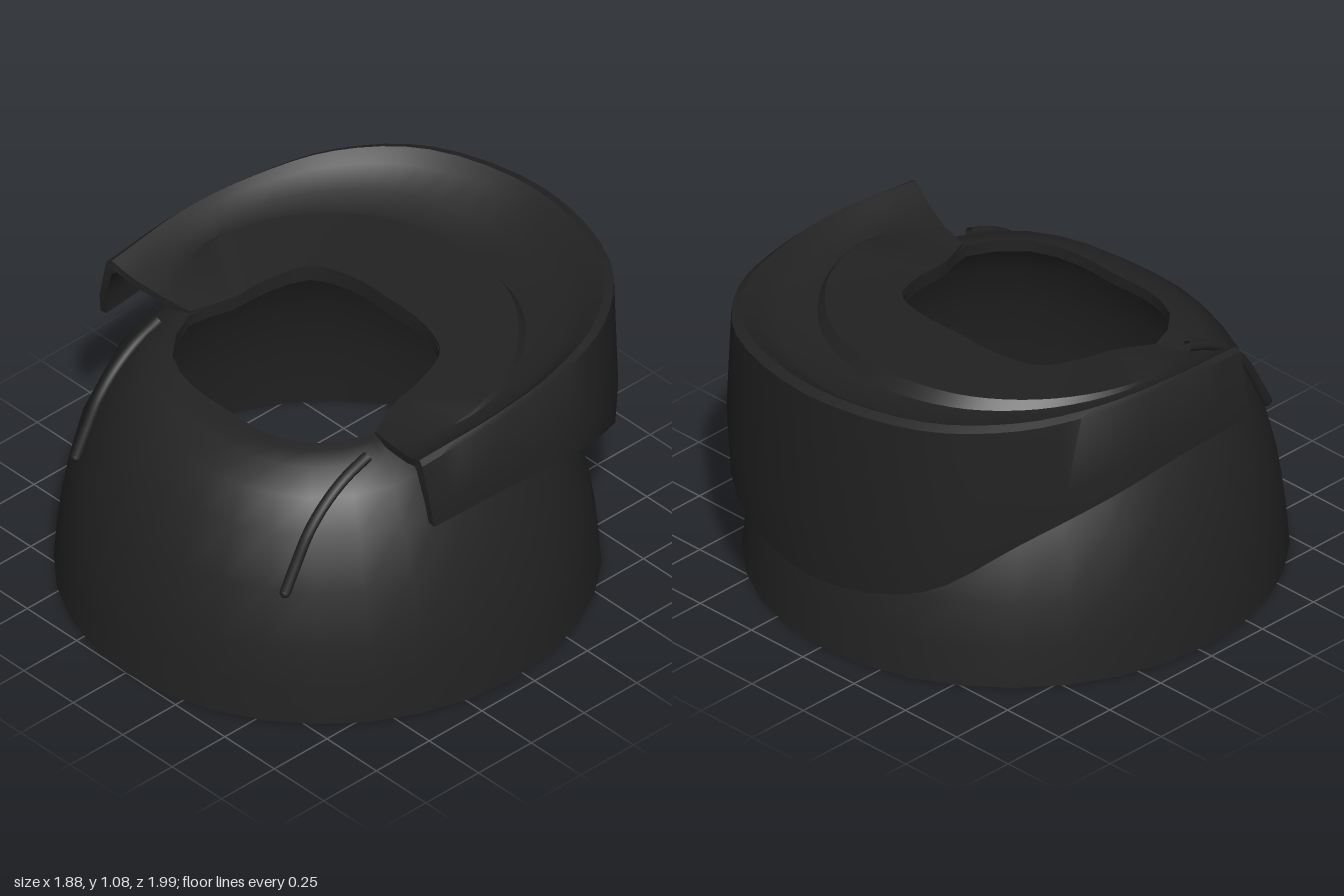
import * as THREE from 'three';
import { toCreasedNormals } from 'three/addons/utils/BufferGeometryUtils.js';

const material = new THREE.MeshStandardMaterial({ color: 0x222222, side: THREE.DoubleSide });
const V = (x, y, z) => new THREE.Vector3(x, y, z);

// Skin a list of rows of points with quads
function skin(rows, closeU, closeV) {
  const n = rows[0].length, m = rows.length, pos = [], index = [];
  rows.forEach(row => row.forEach(p => pos.push(p.x, p.y, p.z)));
  for (let r = 0; r < (closeV ? m : m - 1); r++) {
    for (let i = 0; i < (closeU ? n : n - 1); i++) {
      const j = (i + 1) % n, q = (r + 1) % m;
      const a = r * n + i, b = r * n + j, c = q * n + j, d = q * n + i;
      index.push(a, b, c, a, c, d);
    }
  }
  const geometry = new THREE.BufferGeometry();
  geometry.setAttribute('position', new THREE.Float32BufferAttribute(pos, 3));
  geometry.setIndex(index);
  return toCreasedNormals(geometry, 0.75);
}

function add(group, name, geometry) {
  const mesh = new THREE.Mesh(geometry, material);
  mesh.name = name;
  group.add(mesh);
  return mesh;
}

// Outline of the waist opening: half from front to back, then mirrored
const halfHole = [[0, .52], [.17, .52], [.34, .46], [.46, .27], [.41, .11], [.39, -.03], [.33, -.18], [.18, -.235], [0, -.24]];
const holeCurve = new THREE.CatmullRomCurve3([
  ...halfHole.map(([x, z]) => V(x, 0, z)),
  ...halfHole.slice(1, -1).reverse().map(([x, z]) => V(-x, 0, z)),
], true);

// Point on the dome: angle from the front, s = 1 at the base and 0 at the opening
function domePoint(angle, s, y, baseScale = 1, drop = 0) {
  const hole = holeCurve.getPoint(angle / (2 * Math.PI));
  const base = V(.94 * baseScale * Math.sin(angle), 0, .045 + .955 * baseScale * Math.cos(angle));
  const p = hole.lerp(base, s);
  p.y = Math.max(0, y * (1 + .039 * (1 - Math.cos(angle))) - drop);
  return p;
}
const domeProfile = [[1, 0], [.975, .14], [.93, .29], [.81, .5], [.62, .69], [.44, .8], [.25, .87], [.08, .89], [0, .895]];

function domeGeometry() {
  const ring = (s, y, scale, drop) => Array.from({ length: 32 }, (_, i) => domePoint(i / 32 * 2 * Math.PI, s, y, scale, drop));
  const outer = domeProfile.map(([s, y]) => ring(s, y));
  const inner = domeProfile.map(([s, y]) => ring(s, y, .945, .045)).reverse();
  return skin([...outer, ...inner], true, true);
}

// Guide lines of the seat shell, from the middle of the back to an armrest's front
const guide = points => points.map(p => V(...p));
const hem = guide([[0, .32, -.97], [.45, .4, -.87], [.7, .6, -.63], [.84, .72, -.32], [.86, .76, 0], [.845, .755, .33]]);
const rim = guide([[0, 1.065, -.99], [.45, 1.06, -.875], [.68, 1.05, -.63], [.78, 1.035, -.32], [.81, 1.025, 0], [.8, 1, .345]]);
const ledge = guide([[0, 1, -.61], [.29, 1, -.55], [.48, .995, -.41], [.61, .99, -.22], [.66, .975, 0], [.58, .935, .28]]);
const mouth = guide([[0, .985, -.24], [.18, .98, -.235], [.33, .97, -.18], [.39, .955, -.03], [.41, .94, .11], [.47, .925, .26]]);

// Trough between rim and ledge: position across, lift, and depth that fades forwards
const trough = [[.1, .02, 0], [.26, .01, .02], [.5, 0, .07], [.92, 0, .055]];

function shellRows() {
  const bulge = hem.map((p, i) => {
    const q = p.clone().lerp(rim[i], .3);
    return V(q.x * 1.01, q.y, q.z * 1.015);
  });
  const troughRows = trough.map(([t, lift, depth]) => rim.map((p, i) => {
    const q = p.clone().lerp(ledge[i], t);
    q.y += lift - depth * (1 - i / 5);
    return q;
  }));
  return [hem, bulge, rim, ...troughRows, ledge, mouth];
}

// Underside of the shell: walls move inward, top surfaces move down
function thicken(p, row) {
  if (row > 3) return V(p.x, p.y - .03, p.z);
  return V(p.x * .965, p.y + (row < 2 ? .005 : -.035), p.z < 0 ? p.z * .965 : p.z);
}

function buildShell(group) {
  const sweep = half => new THREE.CatmullRomCurve3([
    ...half.slice(1).reverse(),
    ...half.map(p => V(-p.x, p.y, p.z)),
  ]).getPoints(40);
  const rows = shellRows();
  const outer = rows.map(sweep);
  const inner = rows.map((row, r) => sweep(row.map(p => thicken(p, r))));
  add(group, 'seatShell', skin([...outer, ...inner.slice().reverse()], false, true));
  // Close the two front ends of the armrests
  [0, 40].forEach((i, k) => add(group, k ? 'rightArmrestEnd' : 'leftArmrestEnd',
    skin([outer.map(row => row[i]), inner.map(row => row[i])], false, false)));
}

// Raised rib that follows the dome in a plane of constant x
function ribGeometry(side) {
  const points = [.5, .6, .7, .78, .84, .875].map(y => {
    let k = 0;
    while (domeProfile[k + 1][1] < y) k++;
    const [s0, y0] = domeProfile[k], [s1, y1] = domeProfile[k + 1];
    const s = s0 + (s1 - s0) * (y - y0) / (y1 - y0);
    let low = 0, high = 1.5;
    for (let i = 0; i < 25; i++) {
      const mid = (low + high) / 2;
      if (domePoint(mid, s, y).x < .53) low = mid; else high = mid;
    }
    const p = domePoint(low, s, y);
    return V(side * p.x, p.y + .006, p.z + .008);
  });
  return new THREE.TubeGeometry(new THREE.CatmullRomCurve3(points), 20, .02, 8);
}

export function createModel() {
  const group = new THREE.Group();
  group.name = 'babySeat';
  add(group, 'dome', domeGeometry());
  const shell = new THREE.Group();
  shell.name = 'backrestAndArmrests';
  buildShell(shell);
  group.add(shell);

  for (const side of [1, -1]) {
    const name = side > 0 ? 'leftRib' : 'rightRib';
    const rib = ribGeometry(side);
    add(group, name, rib);
    // Rounded lower tip
    const tip = add(group, name + 'Tip', new THREE.SphereGeometry(.02, 8, 6));
    tip.position.copy(rib.parameters.path.getPoint(0));
  }
  return group;
}
